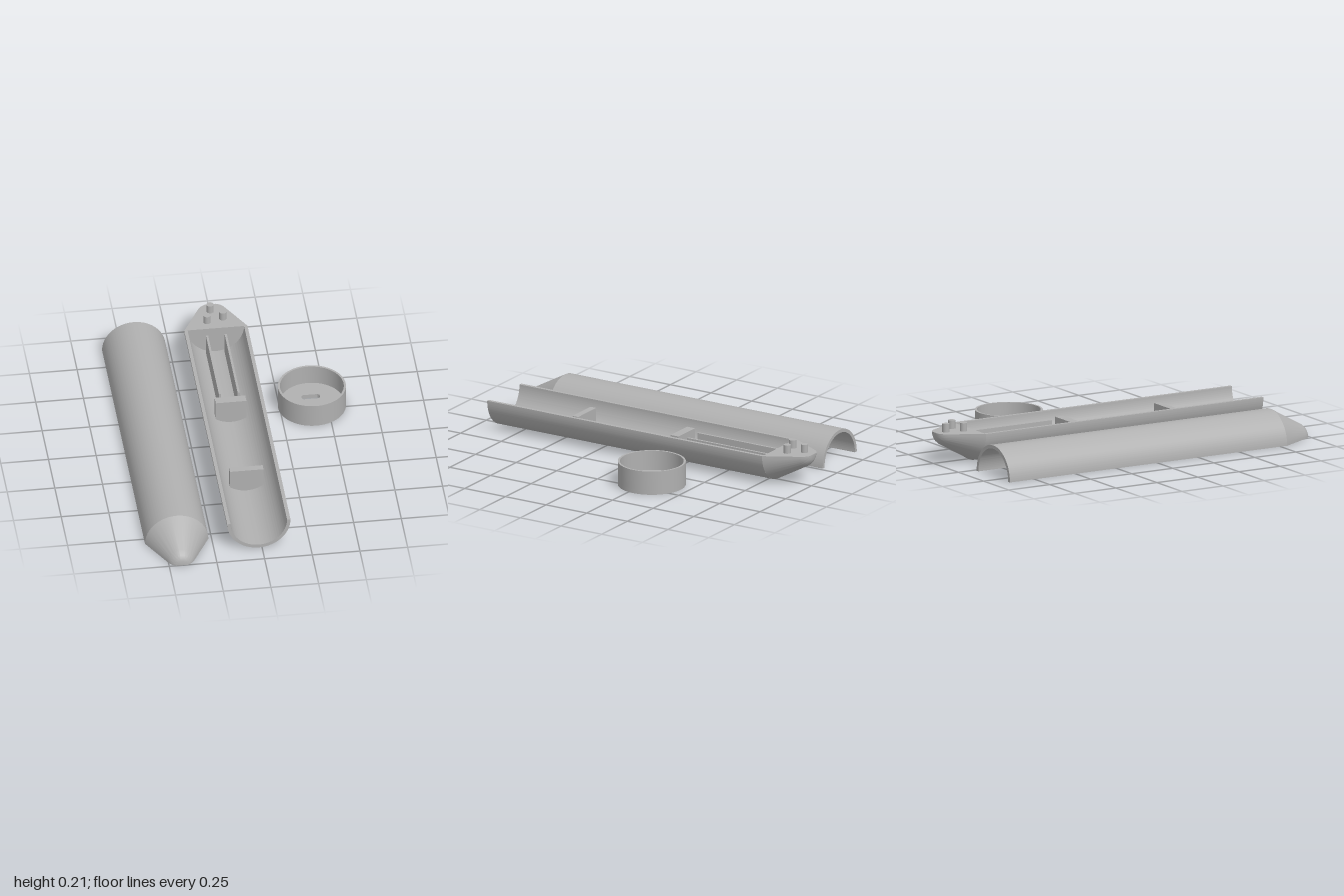
import * as THREE from 'three';
import { toCreasedNormals } from 'three/addons/utils/BufferGeometryUtils.js';

const R = 0.166, INNER = 0.148, NOSE_Z = 0.79, TAIL_Z = 0.9;
// nose outline: radius, distance from the middle
const NOSE = [[R, NOSE_Z], [0.072, 0.96], [0.064, 0.973], [0.053, 0.986], [0.04, 0.995], [0.028, 1]];
// registration pegs / sockets: x, distance from the middle
const PEGS = [[-0.01, 0.94], [-0.038, 0.85], [0.047, 0.87]];
const PEG_R = 0.019;

export function createModel() {
  const grey = new THREE.MeshStandardMaterial({ color: 0xb0b0b0 });
  grey.name = 'grey';
  const root = new THREE.Group();
  root.name = 'twoPartTubeWithCap';

  function add(parent, name, geo, x = 0, y = 0, z = 0) {
    const m = new THREE.Mesh(geo, grey);
    m.name = name;
    m.position.set(x, y, z);
    parent.add(m);
    return m;
  }
  const extrude = (shape, depth) => toCreasedNormals(
    new THREE.ExtrudeGeometry(shape, { depth, bevelEnabled: false, curveSegments: 48 }), 0.5);

  // Cross-section that fills the trough between x0 and x1 up to height top
  function fillShape(x0, x1, top) {
    const s = new THREE.Shape();
    const r = INNER + 0.006;
    s.moveTo(x1, top);
    s.lineTo(x0, top);
    for (let i = 0; i <= 12; i++) {
      const x = x0 + (x1 - x0) * i / 12;
      s.lineTo(x, -Math.sqrt(r * r - x * x));
    }
    s.closePath();
    return s;
  }

  // One half of the tube: open side up, nose towards -z
  function half(name, hasPegs) {
    const g = new THREE.Group();
    g.name = name;
    root.add(g);

    const ring = new THREE.Shape();
    ring.absarc(0, 0, R, Math.PI, Math.PI * 2, false);
    ring.lineTo(INNER, 0);
    ring.absarc(0, 0, INNER, Math.PI * 2, Math.PI, true);
    ring.closePath();
    add(g, 'shell', extrude(ring, NOSE_Z + TAIL_Z), 0, 0, -NOSE_Z);

    // solid nose: half lathe with its inner wall
    const pts = [[0, NOSE_Z], ...NOSE, [0, 1]].map(p => new THREE.Vector2(...p));
    const nose = new THREE.LatheGeometry(pts, 48, Math.PI / 2, Math.PI);
    nose.rotateX(-Math.PI / 2);
    add(g, 'nose', toCreasedNormals(nose, 0.6));

    // flat face of the nose
    const deck = new THREE.Shape();
    NOSE.forEach(([x, y], i) => i ? deck.lineTo(x, y) : deck.moveTo(x, y));
    [...NOSE].reverse().forEach(([x, y]) => deck.lineTo(-x, y));
    deck.closePath();
    if (!hasPegs) {
      for (const [x, y] of PEGS) {
        const hole = new THREE.Path();
        hole.absarc(x, y, PEG_R, 0, Math.PI * 2, true);
        deck.holes.push(hole);
      }
    }
    add(g, 'noseFace', new THREE.ShapeGeometry(deck, 24).rotateX(-Math.PI / 2));

    for (const [x, d] of PEGS) {
      if (hasPegs) {
        add(g, 'peg', new THREE.CylinderGeometry(PEG_R, PEG_R, 0.05, 24), x, 0.019, -d);
      } else {
        // socket wall faces inwards, floor faces the opening
        const wall = new THREE.CylinderGeometry(PEG_R, PEG_R, 0.045, 24, 1, true);
        wall.scale(-1, 1, 1);
        const idx = wall.index.array;
        const n = wall.attributes.normal;
        for (let i = 0; i < n.count; i++) n.setXYZ(i, n.getX(i) * -1, 0, n.getZ(i) * -1);
        wall.index.array = idx;
        add(g, 'socketWall', wall, x, -0.0225, -d);
        add(g, 'socketFloor', new THREE.CircleGeometry(PEG_R, 24).rotateX(-Math.PI / 2), x, -0.045, -d);
      }
    }

    // bulkheads and the pair of rails
    add(g, 'frontBulkhead', extrude(fillShape(-0.083, 0.078, -0.02), 0.048), 0, 0, -0.22);
    add(g, 'rearBulkhead', extrude(fillShape(-0.088, 0.088, -0.02), 0.036), 0, 0, 0.39);
    for (const s of [-1, 1]) {
      const a = s * 0.055, b = s * 0.043;
      add(g, 'rail', extrude(fillShape(Math.min(a, b), Math.max(a, b), -0.027), 0.51), 0, 0, -0.77);
    }
    return g;
  }

  half('lowerHalf', true).position.set(-0.017, 0.167, 0);
  const upper = half('upperHalf', false);
  upper.rotation.x = Math.PI;
  upper.position.set(-0.433, 0, 0);

  // Round cap: floor with two slots and a thin wall
  const cap = new THREE.Group();
  cap.name = 'cap';
  cap.position.set(0.419, 0, -0.283);
  root.add(cap);
  const CR = 0.177, CI = 0.166, FLOOR = 0.022, H = 0.127;

  const disc = new THREE.Shape();
  disc.absarc(0, 0, CR, 0, Math.PI * 2, false);
  function slot(cy, w, h, c) {
    const p = new THREE.Path();
    [[-w + c, -h], [-w, -h + c], [-w, h - c], [-w + c, h], [w - c, h], [w, h - c], [w, -h + c], [w - c, -h]]
      .forEach(([x, y], i) => i ? p.lineTo(x, cy + y) : p.moveTo(x, cy + y));
    p.closePath();
    disc.holes.push(p);
  }
  slot(0.046, 0.048, 0.018, 0.009);
  slot(-0.065, 0.043, 0.018, 0.002);
  add(cap, 'capFloor', extrude(disc, FLOOR).rotateX(-Math.PI / 2));

  const rim = new THREE.Shape();
  rim.absarc(0, 0, CR, 0, Math.PI * 2, false);
  const bore = new THREE.Path();
  bore.absarc(0, 0, CI, 0, Math.PI * 2, true);
  rim.holes.push(bore);
  add(cap, 'capWall', extrude(rim, H - FLOOR).rotateX(-Math.PI / 2), 0, FLOOR, 0);

  return root;
}
